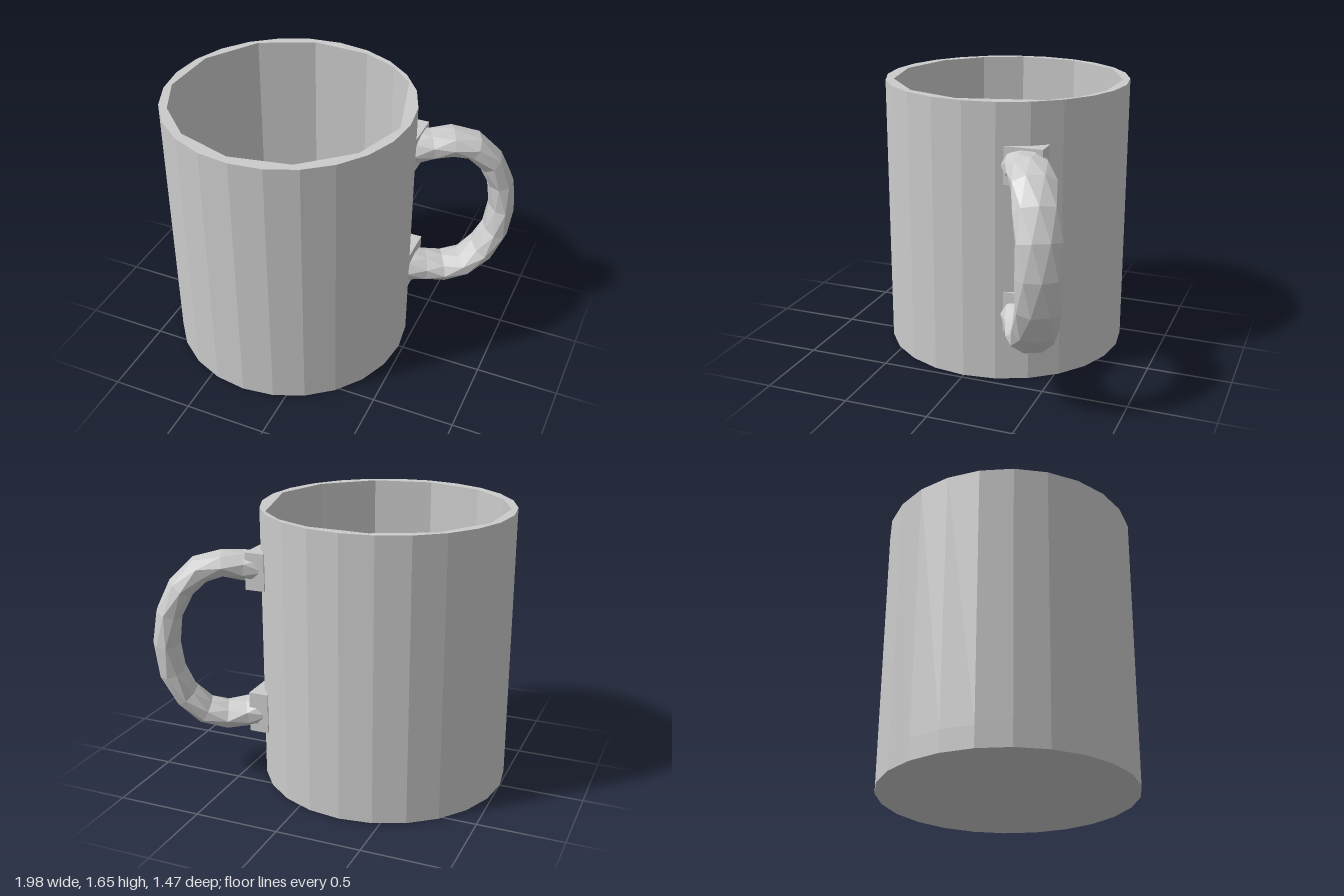
import * as THREE from 'three';

const CX = -0.265, R = 0.737, HEIGHT = 1.655, FLOOR = 0.125, SIDES = 24;

// Handle swept through elliptical cross-sections; [distance from mug axis, y, thickness]
function handleGeometry() {
  const MID = 0.857, WIDTH = 0.26, N = 8;
  const upper = [
    [0.71, 1.3, 0.2], [0.84, 1.315, 0.17], [0.96, 1.33, 0.16], [1.09, 1.295, 0.16],
    [1.2, 1.19, 0.16], [1.275, 1.04, 0.16],
  ];
  const lower = upper.map(([r, y, t]) => [r, 2 * MID - y, t]).reverse();
  const path = [...upper, [1.3, MID, 0.16], ...lower];
  const pos = [], index = [];
  path.forEach(([r, y, t], i) => {
    const a = path[Math.max(i - 1, 0)], b = path[Math.min(i + 1, path.length - 1)];
    const T = new THREE.Vector2(b[0] - a[0], b[1] - a[1]).normalize();
    for (let j = 0; j < N; j++) {
      const ang = ((j + 0.5 * (i % 2)) / N) * Math.PI * 2;
      const out = Math.cos(ang) * t / 2;
      pos.push(r - T.y * out, y + T.x * out, Math.sin(ang) * WIDTH / 2);
    }
  });
  // Alternate rings are turned half a step, giving a triangular facet pattern
  for (let i = 0; i < path.length - 1; i++) {
    for (let j = 0; j < N; j++) {
      const k = (j + 1) % N;
      const a = i * N + j, b = i * N + k, c = a + N, d = b + N;
      if (i % 2) index.push(a, b, d, a, d, c);
      else index.push(a, b, c, b, d, c);
    }
  }
  const g = new THREE.BufferGeometry();
  g.setAttribute('position', new THREE.Float32BufferAttribute(pos, 3));
  g.setIndex(index);
  const flat = g.toNonIndexed();
  flat.computeVertexNormals();
  return flat;
}

export function createModel() {
  const group = new THREE.Group();
  const material = new THREE.MeshStandardMaterial({ color: 0xcccccc, flatShading: true });
  const add = (name, geometry, x = 0, y = 0, z = 0) => {
    const mesh = new THREE.Mesh(geometry, material);
    mesh.name = name;
    mesh.position.set(x, y, z);
    group.add(mesh);
    return mesh;
  };

  // Wall: many-sided outside, coarser and irregular inside
  const ring = [];
  for (let i = 0; i < SIDES; i++) {
    const a = (i / SIDES) * Math.PI * 2;
    ring.push(new THREE.Vector2(CX + R * Math.cos(a), R * Math.sin(a)));
  }
  const inner = [
    [-0.93, -0.22], [-0.73, -0.53], [-0.41, -0.68], [-0.06, -0.67], [0.15, -0.58],
    [0.3, -0.44], [0.43, 0.05], [0.32, 0.37], [0.05, 0.61], [-0.3, 0.68],
    [-0.63, 0.58], [-0.84, 0.38], [-0.95, 0.14],
  ].map(([x, z]) => new THREE.Vector2(x, z));
  const shape = new THREE.Shape(ring);
  shape.holes.push(new THREE.Path(inner));
  const wall = new THREE.ExtrudeGeometry(shape, { depth: HEIGHT - FLOOR, bevelEnabled: false });
  wall.rotateX(Math.PI / 2);
  add('mugWall', wall, 0, HEIGHT, 0);

  // Solid base, whose top is the inside floor
  add('mugBase', new THREE.CylinderGeometry(R, R, FLOOR, SIDES), CX, FLOOR / 2, 0);

  // Handle, pointing out and to the back
  add('handle', handleGeometry(), CX, 0, 0).rotation.y = THREE.MathUtils.degToRad(27.5);

  // Square blocks where the handle meets the wall
  for (const [name, bottom, top] of [['upperHandleRoot', 1.19, 1.41], ['lowerHandleRoot', 0.305, 0.55]]) {
    add(name, new THREE.BoxGeometry(0.12, top - bottom, 0.235), 0.37, (top + bottom) / 2, -0.342);
  }
  return group;
}
